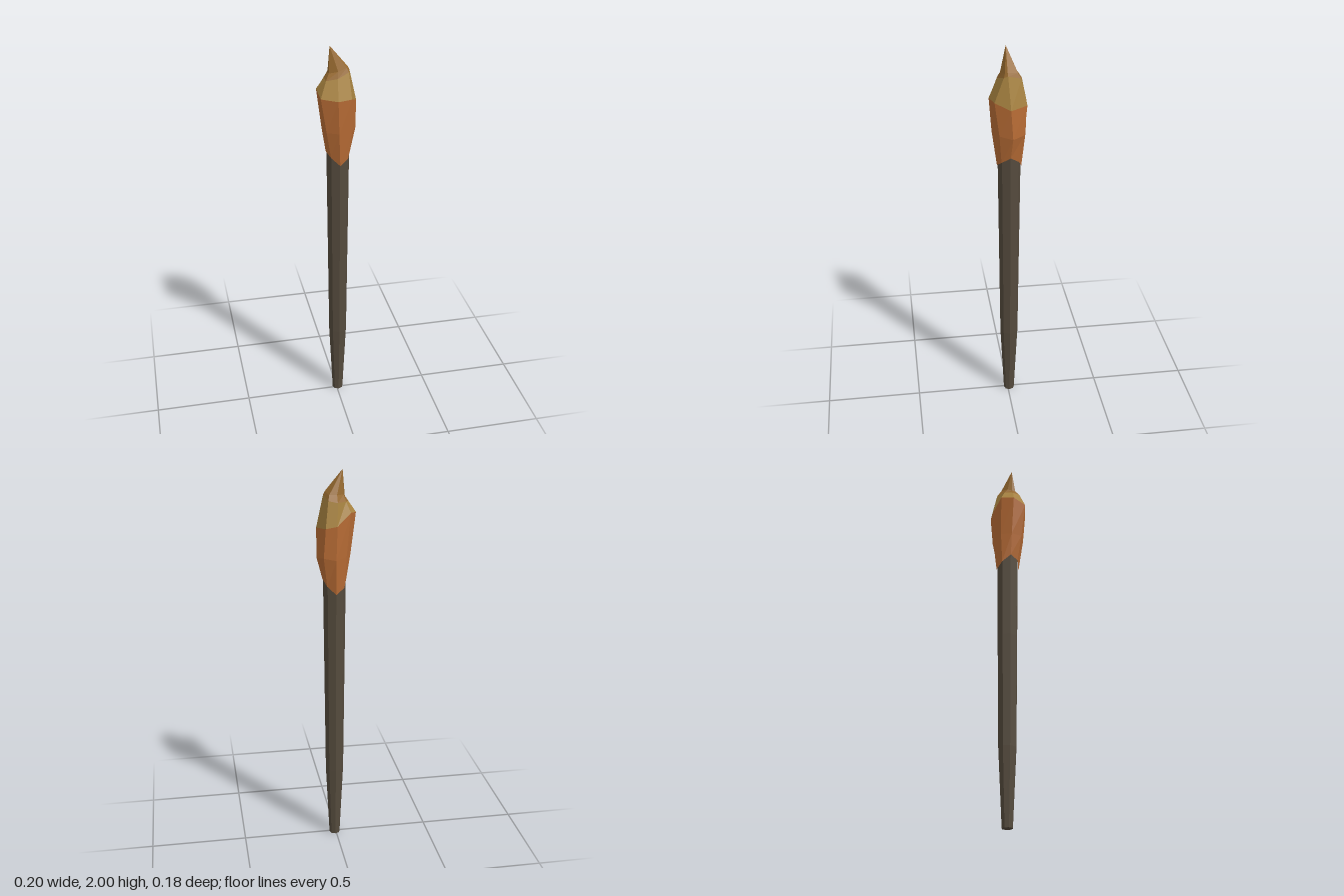
import * as THREE from 'three';

const mat = (color) => new THREE.MeshStandardMaterial({ color, flatShading: true });

// Skin a stack of rings; each ring runs +x, +z, -x, -z. A one-point ring closes to a tip.
function loft(name, rings, material) {
  const pos = [];
  const tri = (a, b, c) => pos.push(...a, ...b, ...c);
  for (let i = 0; i < rings.length - 1; i++) {
    const lo = rings[i], hi = rings[i + 1];
    const n = Math.max(lo.length, hi.length);
    for (let j = 0; j < n; j++) {
      const k = (j + 1) % n;
      if (lo.length > 1) tri(lo[j], hi[j % hi.length], lo[k]);
      if (hi.length > 1) tri(lo[k % lo.length], hi[j], hi[k]);
    }
  }
  const geo = new THREE.BufferGeometry();
  geo.setAttribute('position', new THREE.Float32BufferAttribute(pos, 3));
  geo.computeVertexNormals();
  const mesh = new THREE.Mesh(geo, material);
  mesh.name = name;
  return mesh;
}

const circle = (y, r, n = 8) => Array.from({ length: n }, (_, j) => {
  const a = (j / n) * Math.PI * 2;
  return [0.007 + r * Math.cos(a), y, -0.007 + r * Math.sin(a)];
});

export function createModel() {
  const torch = new THREE.Group();
  torch.name = 'torch';

  // Tapered eight-sided wooden shaft with a closed foot
  torch.add(loft('shaft', [
    [[0.007, 0, -0.007]], circle(0, 0.028), circle(0.4, 0.047),
    circle(1.0, 0.053), circle(1.5, 0.058),
  ], mat(0x554b3d)));

  // Jagged lower edge of the flame, hugging the shaft
  const hem = circle(0, 0.061);
  [1.46, 1.43, 1.40, 1.44, 1.46, 1.42, 1.39, 1.43].forEach((y, j) => { hem[j][1] = y; });

  const belly = [
    [0.097, 1.57, -0.015], [0.068, 1.58, 0.048], [-0.003, 1.58, 0.078], [-0.06, 1.58, 0.05],
    [-0.073, 1.58, -0.008], [-0.045, 1.58, -0.06], [0.01, 1.57, -0.088], [0.07, 1.58, -0.072],
  ];
  const shoulder = [
    [0.097, 1.72, -0.005], [0.06, 1.75, 0.07], [-0.01, 1.75, 0.09], [-0.09, 1.76, 0.063],
    [-0.1, 1.79, -0.005], [-0.065, 1.8, -0.065], [0.005, 1.74, -0.09], [0.062, 1.73, -0.087],
  ];
  const crown = [
    [0.06, 1.88, 0.005], [0.054, 1.87, 0.025], [-0.005, 1.85, 0.05], [-0.06, 1.84, 0.04],
    [-0.063, 1.845, 0.003], [-0.045, 1.85, -0.04], [0.0, 1.85, -0.068], [0.045, 1.86, -0.06],
  ];
  // The crown pinches in on the left to a narrow neck under the tip
  const neck = [
    [0.052, 1.895, 0.006], [0.045, 1.89, 0.018], [0.0, 1.88, 0.036], [-0.043, 1.87, 0.022],
    [-0.046, 1.87, 0.003], [-0.036, 1.88, -0.02], [0.0, 1.885, -0.045], [0.038, 1.885, -0.045],
  ];

  torch.add(loft('flameBody', [hem, belly, shoulder], mat(0xb86c35)));
  torch.add(loft('flameCrown', [shoulder, crown], mat(0xa88340)));
  torch.add(loft('flameTip', [crown, neck, [[-0.035, 2, 0.004]]], mat(0x96692f)));
  return torch;
}
